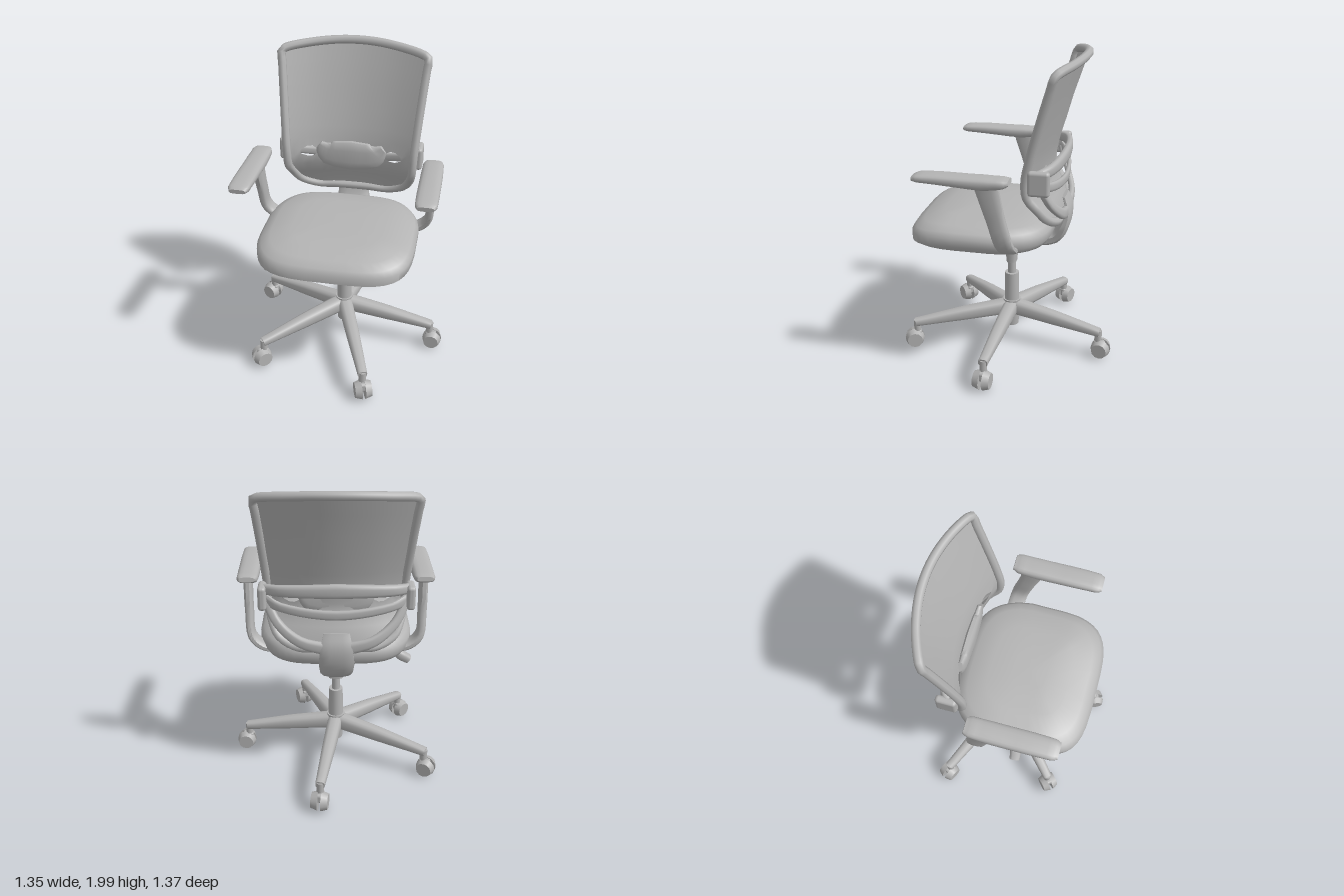
import * as THREE from 'three';
import { toCreasedNormals } from 'three/addons/utils/BufferGeometryUtils.js';
import { RoundedBoxGeometry } from 'three/addons/geometries/RoundedBoxGeometry.js';

const V = (x, y, z) => new THREE.Vector3(x, y, z);
const X = V(1, 0, 0), Y = V(0, 1, 0), Z = V(0, 0, 1);

// Linear interpolation through a list of evenly spaced values
function pick(list, t) {
  if (!Array.isArray(list)) return list;
  const f = t * (list.length - 1), i = Math.min(Math.floor(f), list.length - 2);
  return THREE.MathUtils.lerp(list[i], list[i + 1], f - i);
}

// Superellipse ring in the plane of a and b
function ring(c, a, ha, b, hb, n, power) {
  return Array.from({ length: n }, (_, i) => {
    const t = ((i + 0.5) / n) * Math.PI * 2, co = Math.cos(t), si = Math.sin(t);
    const f = (v) => Math.sign(v) * Math.abs(v) ** (2 / power);
    return c.clone().addScaledVector(a, ha * f(co)).addScaledVector(b, hb * f(si));
  });
}

// Skin a row of rings and cap both ends
function loft(rings, crease = 0.8) {
  const n = rings[0].length, m = rings.length, pts = rings.flat(), idx = [];
  for (let r = 0; r < m - 1; r++) for (let i = 0; i < n; i++) {
    const a = r * n + i, b = r * n + ((i + 1) % n);
    idx.push(a, b, b + n, a, b + n, a + n);
  }
  [0, m - 1].forEach((r) => {
    const c = pts.length;
    pts.push(rings[r].reduce((s, p) => s.add(p), V(0, 0, 0)).divideScalar(n));
    for (let i = 0; i < n; i++) {
      const a = r * n + i, b = r * n + ((i + 1) % n);
      if (r) idx.push(a, b, c); else idx.push(b, a, c);
    }
  });
  // Turn the faces outward
  let vol = 0;
  for (let i = 0; i < idx.length; i += 3)
    vol += pts[idx[i]].dot(pts[idx[i + 1]].clone().cross(pts[idx[i + 2]]));
  if (vol < 0) idx.reverse();
  const g = new THREE.BufferGeometry().setFromPoints(pts);
  g.setIndex(idx);
  return toCreasedNormals(g, crease);
}

// Sweep a rounded section along a smooth path; ref fixes the direction of ha
function sweep(points, ref, ha, hb, { steps = 12, n = 12, power = 3 } = {}) {
  const curve = new THREE.CatmullRomCurve3(points.map((p) => V(...p)));
  return loft(Array.from({ length: steps + 1 }, (_, i) => {
    const t = i / steps, T = curve.getTangent(t);
    const a = ref.clone().addScaledVector(T, -T.dot(ref)).normalize();
    return ring(curve.getPoint(t), a, pick(ha, t), T.clone().cross(a), pick(hb, t), n, power);
  }));
}

// Backrest section by height: y, half width, side z, bow depth
const BACK = [
  [1.0, 0.26, -0.325, 0.015], [1.05, 0.345, -0.285, 0.045], [1.12, 0.385, -0.235, 0.07],
  [1.2, 0.405, -0.175, 0.09], [1.3, 0.41, -0.165, 0.1], [1.45, 0.42, -0.195, 0.1],
  [1.7, 0.44, -0.265, 0.105], [1.93, 0.46, -0.335, 0.12],
];
function backPoint(u, y) {
  let i = 0;
  while (i < BACK.length - 2 && y > BACK[i + 1][0]) i++;
  const A = BACK[i], B = BACK[i + 1], t = (y - A[0]) / (B[0] - A[0]);
  const [, w, z, d] = A.map((v, k) => v + (B[k] - v) * t);
  const bow = 1 - u * u, top = Math.max(0, (y - 1.6) / 0.33);
  return V(u * w, y + 0.045 * bow * top, z - d * bow);
}

// Curved back sheet with two eye-shaped openings
function backPanel() {
  const us = [-1, -0.9, -0.8, -0.7, -0.62, -0.53, -0.4, -0.2, 0, 0.2, 0.4, 0.53, 0.62, 0.7, 0.8, 0.9, 1];
  const ys = [1.0, 1.05, 1.12, 1.2, 1.255, 1.325, 1.38, 1.45, 1.57, 1.7, 1.82, 1.93];
  const pts = [], idx = [], n = us.length;
  ys.forEach((y, r) => us.forEach((u) => {
    const corner = Math.abs(u) === 0.53 || Math.abs(u) === 0.8;
    pts.push(backPoint(u, corner && r === 4 ? 1.275 : corner && r === 5 ? 1.3 : y));
  }));
  for (let r = 0; r < ys.length - 1; r++) for (let i = 0; i < n - 1; i++) {
    const mid = Math.abs(us[i] + us[i + 1]) / 2;
    if (r === 4 && mid > 0.53 && mid < 0.8) continue;
    const a = r * n + i;
    idx.push(a, a + 1, a + n + 1, a, a + n + 1, a + n);
  }
  const g = new THREE.BufferGeometry().setFromPoints(pts);
  g.setIndex(idx);
  g.computeVertexNormals();
  return g;
}

// Cushion built from stacked outlines, dropping at the front and narrowing at the back
function seatCushion() {
  const layers = [[0.805, 0.5], [0.815, 0.8], [0.85, 0.95], [0.885, 1], [0.935, 1], [0.965, 0.95], [0.99, 0.84], [1.008, 0.58], [1.012, 0.25]];
  return loft(layers.map(([y, s]) => {
    const pts = ring(V(0, y, 0.15), X, 0.485 * s, Z, 0.442 * s, 40, 3.8);
    pts.forEach((p) => {
      p.x *= 1 - 0.4 * Math.max(0, -p.z);
      if (y > 0.86) p.y -= 0.14 * Math.max(0, p.z - 0.35);
    });
    return pts;
  }), 1.0);
}

export function createModel() {
  const grey = new THREE.MeshStandardMaterial({ color: 0xb4b4b4, side: THREE.DoubleSide });
  grey.name = 'grey';
  const model = new THREE.Group();
  model.name = 'officeChair';
  model.position.x = -0.02;
  const add = (name, geo, x = 0, y = 0, z = 0, parent = model) => {
    const m = new THREE.Mesh(geo, grey);
    m.name = name;
    m.position.set(x, y, z);
    parent.add(m);
  };
  const cyl = (rt, rb, h, n = 16) => new THREE.CylinderGeometry(rt, rb, h, n);

  // Column and hub
  add('hub', cyl(0.06, 0.045, 0.19), 0, 0.225);
  add('columnSleeve', cyl(0.046, 0.05, 0.21), 0, 0.41);
  add('gasLift', cyl(0.027, 0.027, 0.2), 0, 0.57);
  add('liftSocket', sweep([[0, 0.6, 0], [0, 0.69, 0], [0, 0.78, 0]], X, [0.048, 0.054, 0.065], [0.033, 0.04, 0.07]));

  // Five legs with twin-wheel casters
  [[0.61, 0.05], [0.23, 0.61], [-0.47, 0.43], [-0.585, -0.275], [0.105, -0.61]].forEach(([x, z]) => {
    const side = V(-z, 0, x).normalize();
    add('leg', sweep([[0, 0.265, 0], [x / 2, 0.228, z / 2], [x, 0.185, z]], side, [0.05, 0.042, 0.03], [0.055, 0.045, 0.026]));
    const caster = new THREE.Group();
    caster.name = 'caster';
    caster.position.set(x, 0, z);
    caster.rotation.y = -Math.atan2(z, x);
    model.add(caster);
    add('casterStem', cyl(0.024, 0.024, 0.12, 10), -0.01, 0.14, 0, caster);
    add('casterHood', new RoundedBoxGeometry(0.075, 0.06, 0.05, 2, 0.015), 0, 0.1, 0, caster);
    [-1, 1].forEach((s) => {
      const wheel = cyl(s > 0 ? 0.05 : 0.064, s > 0 ? 0.064 : 0.05, 0.042, 12).rotateX(Math.PI / 2);
      add('wheel', wheel, 0.01, 0.072, s * 0.032, caster);
    });
  });

  // Tilt mechanism running back and up into the spine
  add('spine', sweep([[0, 0.785, 0.17], [0, 0.775, 0.05], [0, 0.785, -0.12], [0, 0.815, -0.29], [0, 0.9, -0.345], [0, 1.01, -0.37], [0, 1.1, -0.345]],
    X, [0.07, 0.08, 0.09, 0.1, 0.11, 0.1, 0.08], [0.025, 0.042, 0.04, 0.04, 0.035, 0.02, 0.012], { steps: 24 }));

  // Tilt lever
  add('leverRod', sweep([[-0.04, 0.775, 0.1], [-0.2, 0.757, 0.14], [-0.36, 0.738, 0.17], [-0.42, 0.7, 0.18]], Y, 0.014, 0.014, { n: 8 }));
  add('leverPaddle', sweep([[-0.395, 0.71, 0.172], [-0.445, 0.665, 0.18], [-0.5, 0.628, 0.187]], Z, [0.022, 0.037, 0.034], [0.02, 0.034, 0.03], { steps: 6 }));

  // Seat
  add('seat', seatCushion());

  // Backrest sheet and its frame
  add('backPanel', backPanel());
  const rim = [];
  for (const y of [1.05, 1.12, 1.2, 1.3, 1.45, 1.7, 1.85, 1.92]) rim.push(backPoint(1, y));
  for (const u of [0.95, 0.6, 0.2, -0.2, -0.6, -0.95]) rim.push(backPoint(u, 1.93));
  for (const y of [1.92, 1.85, 1.7, 1.45, 1.3, 1.2, 1.12, 1.05]) rim.push(backPoint(-1, y));
  for (const u of [-0.9, -0.4, 0.4, 0.9]) rim.push(backPoint(u, 1.0));
  add('backFrame', new THREE.TubeGeometry(new THREE.CatmullRomCurve3(rim, true), 110, 0.027, 8, true));

  // Lumbar pad in front, support bands behind
  add('lumbarPad', sweep([[-0.21, 1.335, -0.235], [-0.15, 1.285, -0.235], [0, 1.275, -0.235], [0.15, 1.285, -0.235], [0.21, 1.335, -0.235]],
    Y, [0.03, 0.085, 0.1, 0.085, 0.03], [0.015, 0.025, 0.03, 0.025, 0.015]));
  const band = (name, ySide, yMid, h, depth) => add(name, sweep(
    [[-0.45, ySide, -0.23], [-0.33, (ySide + yMid) / 2, -0.305], [0, yMid, -0.35], [0.33, (ySide + yMid) / 2, -0.305], [0.45, ySide, -0.23]],
    Y, h, depth, { steps: 20 }));
  band('upperBand', 1.345, 1.375, [0.03, 0.035, 0.045, 0.035, 0.03], 0.022);
  band('lowerBand', 1.29, 1.22, [0.04, 0.028, 0.03, 0.028, 0.04], 0.014);

  // Parts mirrored on both sides
  [-1, 1].forEach((s) => {
    const path = (pts) => pts.map(([x, y, z]) => [s * x, y, z]);
    add('bandBracket', new RoundedBoxGeometry(0.05, 0.15, 0.13, 2, 0.02), s * 0.44, 1.305, -0.25);
    add('backArm', sweep(path([[0.05, 1.0, -0.36], [0.22, 1.05, -0.355], [0.35, 1.15, -0.305], [0.42, 1.28, -0.25]]),
      Z, 0.02, [0.04, 0.03, 0.025]));
    add('armPost', sweep(path([[0.34, 0.865, -0.07], [0.46, 0.885, -0.075], [0.53, 0.95, -0.065], [0.545, 1.1, -0.025], [0.55, 1.31, 0.03]]),
      Z, [0.055, 0.055, 0.055, 0.055, 0.07], [0.022, 0.026, 0.028], { steps: 18 }));
    add('armPad', sweep(path([[0.545, 1.345, -0.105], [0.545, 1.338, -0.07], [0.545, 1.33, 0.05], [0.545, 1.338, 0.3], [0.545, 1.338, 0.425], [0.545, 1.335, 0.458]]),
      X, [0.05, 0.064, 0.067, 0.067, 0.064, 0.05], [0.015, 0.028, 0.038, 0.03, 0.024, 0.014], { steps: 15, n: 16 }));
  });
  return model;
}
